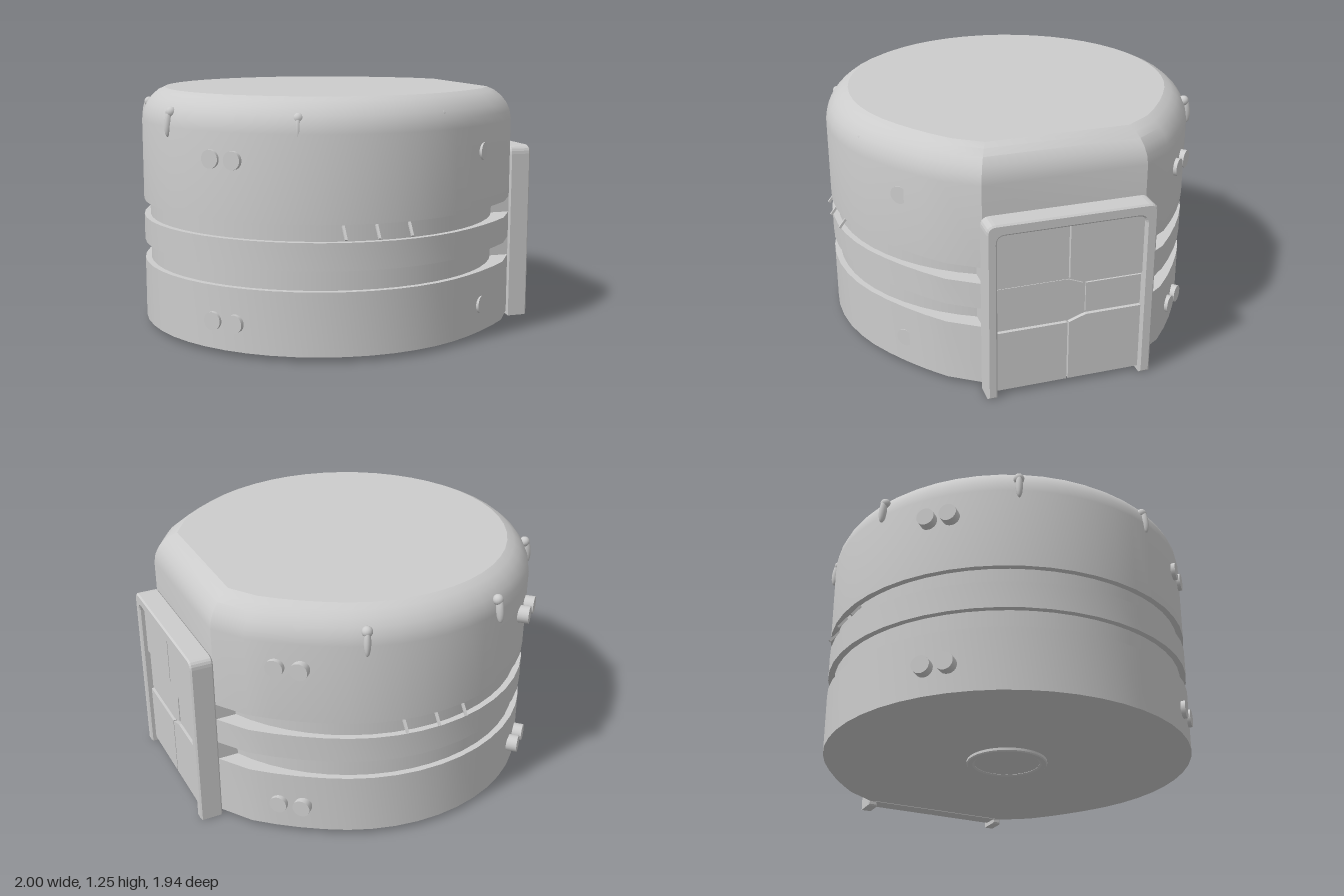
import * as THREE from 'three';
import { toCreasedNormals } from 'three/addons/utils/BufferGeometryUtils.js';

const CX = -0.047, CZ = 0.008, R = 0.952;
const grey = new THREE.MeshStandardMaterial({ color: 0xcccccc });

function add(parent, name, geometry) {
  const mesh = new THREE.Mesh(geometry, grey);
  mesh.name = name;
  parent.add(mesh);
  return mesh;
}

// Plan outline: a circle that swells towards a flat side at +x
function planOutline() {
  const pts = [[0.88 - CX, 0.41]];
  const n = 40;
  for (let i = 0; i <= n; i++) {
    const deg = 34.5 + (291 * i) / n;
    const off = Math.min(deg, 360 - deg);
    const swell = Math.max(0, (60 - off) / 25.5);
    const r = R + 0.046 * swell * swell;
    const a = THREE.MathUtils.degToRad(deg);
    pts.push([r * Math.cos(a), r * Math.sin(a)]);
  }
  pts.push([0.88 - CX, -0.41]);
  return pts;
}

// Closed band made by stacking scaled outlines; levels are [scale, y]
function bandGeometry(levels) {
  const outline = planOutline(), n = outline.length, pos = [];
  const v = ([s, y], i) => {
    const p = outline[i % n];
    return [CX + p[0] * s, y, CZ + p[1] * s];
  };
  const first = levels[0], last = levels[levels.length - 1];
  for (let i = 0; i < n; i++) {
    for (let k = 0; k + 1 < levels.length; k++) {
      const a = v(levels[k], i), b = v(levels[k + 1], i);
      const c = v(levels[k + 1], i + 1), d = v(levels[k], i + 1);
      pos.push(...a, ...b, ...c, ...a, ...c, ...d);
    }
    pos.push(CX, last[1], CZ, ...v(last, i + 1), ...v(last, i));
    pos.push(CX, first[1], CZ, ...v(first, i), ...v(first, i + 1));
  }
  const g = new THREE.BufferGeometry();
  g.setAttribute('position', new THREE.Float32BufferAttribute(pos, 3));
  return toCreasedNormals(g, 0.42);
}

function polygon(points) {
  return new THREE.Shape(points.map(([x, y]) => new THREE.Vector2(x, y)));
}

// Extrude a shape drawn in (-z, y) outwards along +x
function plate(parent, name, shape, x0, x1, bevel = 0) {
  const g = new THREE.ExtrudeGeometry(shape, {
    depth: x1 - x0 - 2 * bevel, bevelEnabled: bevel > 0,
    bevelThickness: bevel, bevelSize: bevel, bevelOffset: -bevel, bevelSegments: 1, curveSegments: 5,
  });
  g.rotateY(Math.PI / 2);
  g.translate(x0 + bevel, 0, 0);
  return add(parent, name, g);
}

function buildBody(root) {
  const body = new THREE.Group();
  body.name = 'body';
  root.add(body);
  add(body, 'lowerBand', bandGeometry([[1, 0.025], [1, 0.34]]));
  add(body, 'middleBand', bandGeometry([[1, 0.44], [1, 0.575]]));
  add(body, 'upperBandAndRoof', bandGeometry([
    [1, 0.66], [1, 1.08], [0.992, 1.125], [0.973, 1.165], [0.945, 1.2], [0.91, 1.228], [0.872, 1.245],
  ]));
  // Recessed wall seen in the two grooves
  add(body, 'grooveWall', new THREE.CylinderGeometry(0.92, 0.92, 0.5, 56, 1, true)).position.set(CX, 0.5, CZ);
  add(body, 'doorJamb', new THREE.BoxGeometry(0.2, 0.4, 0.82)).position.set(0.785, 0.5, 0.008);
  // Round foot ring under the floor
  const ring = [[0.17, 0.025], [0.17, 0.012], [0.18, 0.006], [0.205, 0.006], [0.21, 0.012], [0.21, 0.03]];
  const foot = new THREE.LatheGeometry(ring.map(p => new THREE.Vector2(...p)).reverse(), 40);
  const mesh = add(body, 'footRing', toCreasedNormals(foot, 0.5));
  mesh.material = new THREE.MeshStandardMaterial({ color: 0xcccccc, side: THREE.DoubleSide });
  mesh.position.set(-0.06, 0, 0);
  add(body, 'footPlate', new THREE.CylinderGeometry(0.175, 0.175, 0.02, 40)).position.set(-0.06, 0.024, 0);
}

// Paired diagonal pegs, one row low and one row high
function buildPegs(root) {
  const tips = [
    [-0.775, -0.68], [-0.69, -0.76], [-0.79, 0.63], [-0.705, 0.72],
    [0.58, 0.74], [0.66, 0.65], [0.59, -0.75], [0.68, -0.67],
  ];
  const pegs = new THREE.Group();
  pegs.name = 'pegs';
  root.add(pegs);
  for (const y of [0.165, 0.95]) {
    for (const [x, z] of tips) {
      const dir = new THREE.Vector3(Math.sign(x), 0, Math.sign(z)).normalize();
      const peg = add(pegs, 'peg', new THREE.CylinderGeometry(0.045, 0.045, 0.14, 20));
      peg.quaternion.setFromUnitVectors(new THREE.Vector3(0, 1, 0), dir);
      peg.position.set(x, y, z).addScaledVector(dir, -0.07);
    }
  }
}

// Eight small lamps around the shoulder: a slim fin with a ball above it
function buildLamps(root) {
  for (let i = 0; i < 8; i++) {
    const a = Math.PI / 8 + (i * Math.PI) / 4;
    const lamp = new THREE.Group();
    lamp.name = 'shoulderLamp';
    lamp.position.set(-0.06 + 0.94 * Math.cos(a), 0, -0.01 + 0.94 * Math.sin(a));
    lamp.rotation.y = -a;
    root.add(lamp);
    const fin = add(lamp, 'lampFin', new THREE.SphereGeometry(1, 14, 10));
    fin.scale.set(0.022, 0.07, 0.018);
    fin.position.y = 1.1;
    fin.rotation.z = 0.12;
    add(lamp, 'lampBall', new THREE.SphereGeometry(0.027, 14, 10)).position.set(-0.015, 1.15, 0);
  }
}

// Thin tilted tabs in the upper groove, front and back
function buildTabs(root) {
  for (const side of [1, -1]) {
    for (const x of [-0.22, -0.06, 0.11]) {
      const tab = add(root, 'grooveTab', new THREE.BoxGeometry(0.012, 0.075, 0.012));
      tab.position.set(x, 0.62, CZ + side * (x === -0.06 ? 0.945 : 0.93));
      tab.rotation.x = -side * 0.65;
    }
  }
}

function buildDoor(root) {
  const door = new THREE.Group();
  door.name = 'door';
  root.add(door);
  // Frame with rounded top corners, open at the bottom
  const frame = new THREE.Shape();
  frame.moveTo(-0.43, 0);
  frame.lineTo(-0.43, 0.885);
  frame.quadraticCurveTo(-0.43, 0.93, -0.385, 0.93);
  frame.lineTo(0.37, 0.93);
  frame.quadraticCurveTo(0.415, 0.93, 0.415, 0.885);
  frame.lineTo(0.415, 0);
  frame.lineTo(0.36, 0);
  frame.lineTo(0.36, 0.835);
  frame.quadraticCurveTo(0.355, 0.87, 0.32, 0.872);
  frame.lineTo(-0.345, 0.872);
  frame.quadraticCurveTo(-0.38, 0.87, -0.38, 0.835);
  frame.lineTo(-0.38, 0);
  plate(door, 'doorFrame', frame, 0.88, 0.997, 0.008);

  const backing = polygon([[-0.39, 0.022], [0.37, 0.022], [0.37, 0.88], [-0.39, 0.88]]);
  plate(door, 'doorBacking', backing, 0.87, 0.95);

  // Two leaves meeting in a stepped seam, each split in three panels
  const s = -0.02, t = 0.06, L = -0.385, Rt = 0.365;
  plate(door, 'leftUpperPanel', polygon([[L, 0.585], [s, 0.585], [s, 0.875], [L, 0.875]]), 0.94, 0.97);
  plate(door, 'leftLockPanel', polygon([
    [L, 0.355], [s, 0.355], [t, 0.385], [t, 0.545], [s, 0.577], [L, 0.577],
  ]), 0.94, 0.96);
  plate(door, 'leftLowerPanel', polygon([[L, 0.025], [s, 0.025], [s, 0.345], [L, 0.345]]), 0.94, 0.97);
  const u = s + 0.008, w = t + 0.014;
  plate(door, 'rightUpperPanel', polygon([
    [u, 0.583], [w, 0.556], [Rt, 0.556], [Rt, 0.875], [u, 0.875],
  ]), 0.94, 0.97);
  plate(door, 'rightLockPanel', polygon([[w, 0.385], [Rt, 0.385], [Rt, 0.543], [w, 0.543]]), 0.94, 0.96);
  plate(door, 'rightLowerPanel', polygon([
    [u, 0.025], [Rt, 0.025], [Rt, 0.375], [w, 0.375], [u, 0.345],
  ]), 0.94, 0.97);
}

export function createModel() {
  const root = new THREE.Group();
  root.name = 'roundShelter';
  buildBody(root);
  buildPegs(root);
  buildLamps(root);
  buildTabs(root);
  buildDoor(root);
  return root;
}
